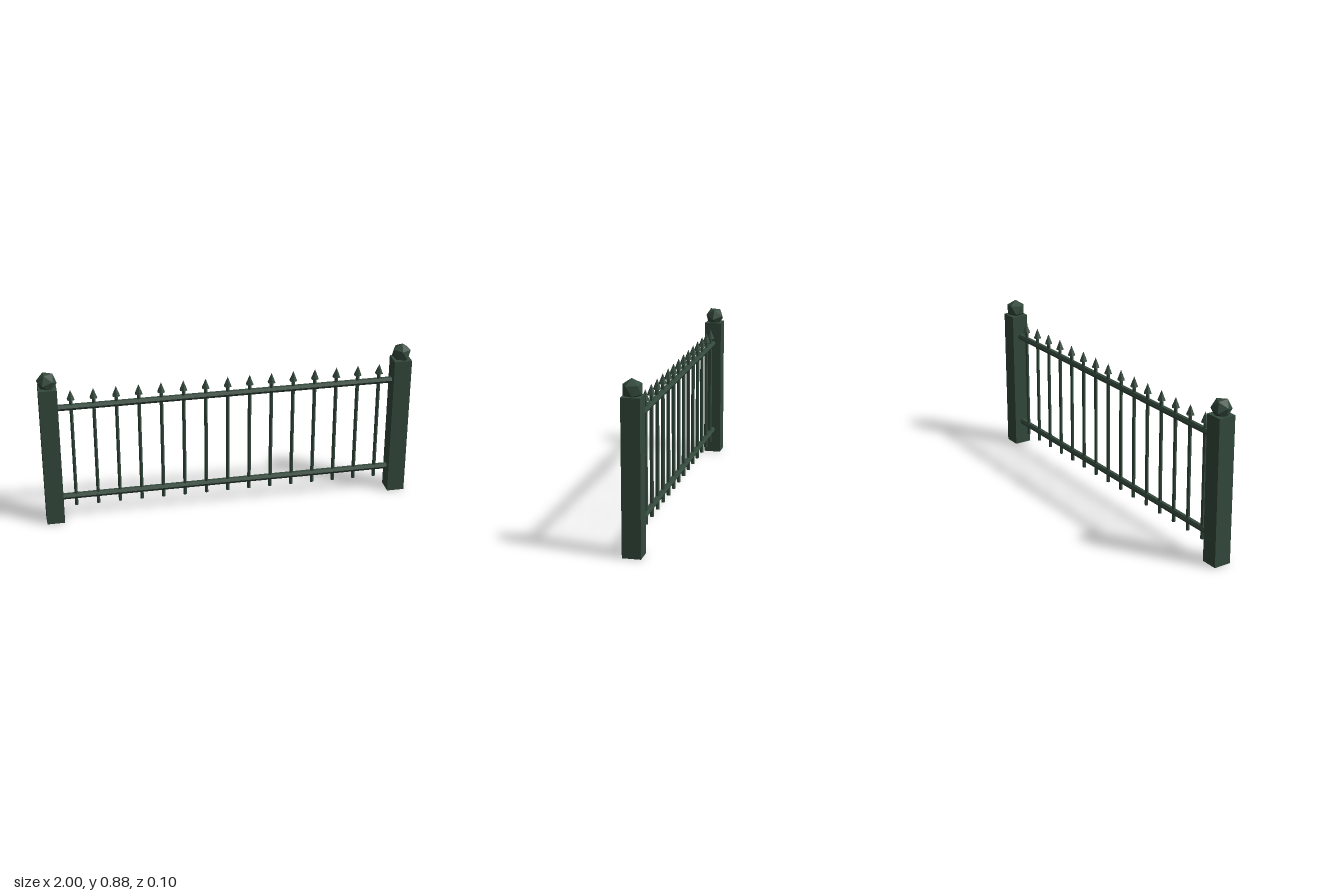
import * as THREE from 'three';

// Low-poly iron fence panel: two posts with faceted finials, two rails, spiked pickets
export function createModel() {
  const group = new THREE.Group();
  const iron = new THREE.MeshStandardMaterial({ color: 0x344a3d });
  iron.name = 'dark green iron';
  iron.flatShading = true;

  const CENTER = -0.005, SPAN = 1.895, GAPS = 16;
  const add = (name, geometry, x, y) => {
    const mesh = new THREE.Mesh(geometry, iron);
    mesh.name = name;
    mesh.position.set(x, y, 0);
    group.add(mesh);
    return mesh;
  };

  // Posts with a faceted ball on top, each ball turned differently
  const post = new THREE.BoxGeometry(0.095, 0.79, 0.095);
  const ball = new THREE.IcosahedronGeometry(0.054, 0);
  for (const side of [-1, 1]) {
    const x = CENTER + side * SPAN / 2;
    add('post', post, x, 0.395);
    const finial = add('finial', ball, x, 0.822);
    finial.rotation.set(0.35, side < 0 ? 0.5 : 1.4, side * 0.25);
  }

  // Six-sided horizontal rails
  const rail = new THREE.CylinderGeometry(0.017, 0.017, SPAN - 0.08, 6).rotateZ(Math.PI / 2);
  add('lowerRail', rail, CENTER, 0.137);
  add('upperRail', rail, CENTER, 0.667);

  // Evenly spaced pickets with pointed tips
  const picket = new THREE.CylinderGeometry(0.01, 0.01, 0.635, 6);
  const spike = new THREE.ConeGeometry(0.022, 0.055, 6);
  for (let i = 1; i < GAPS; i++) {
    const x = CENTER - SPAN / 2 + (SPAN * i) / GAPS;
    add('picket', picket, x, 0.3975);
    add('spike', spike, x, 0.738);
  }
  return group;
}
